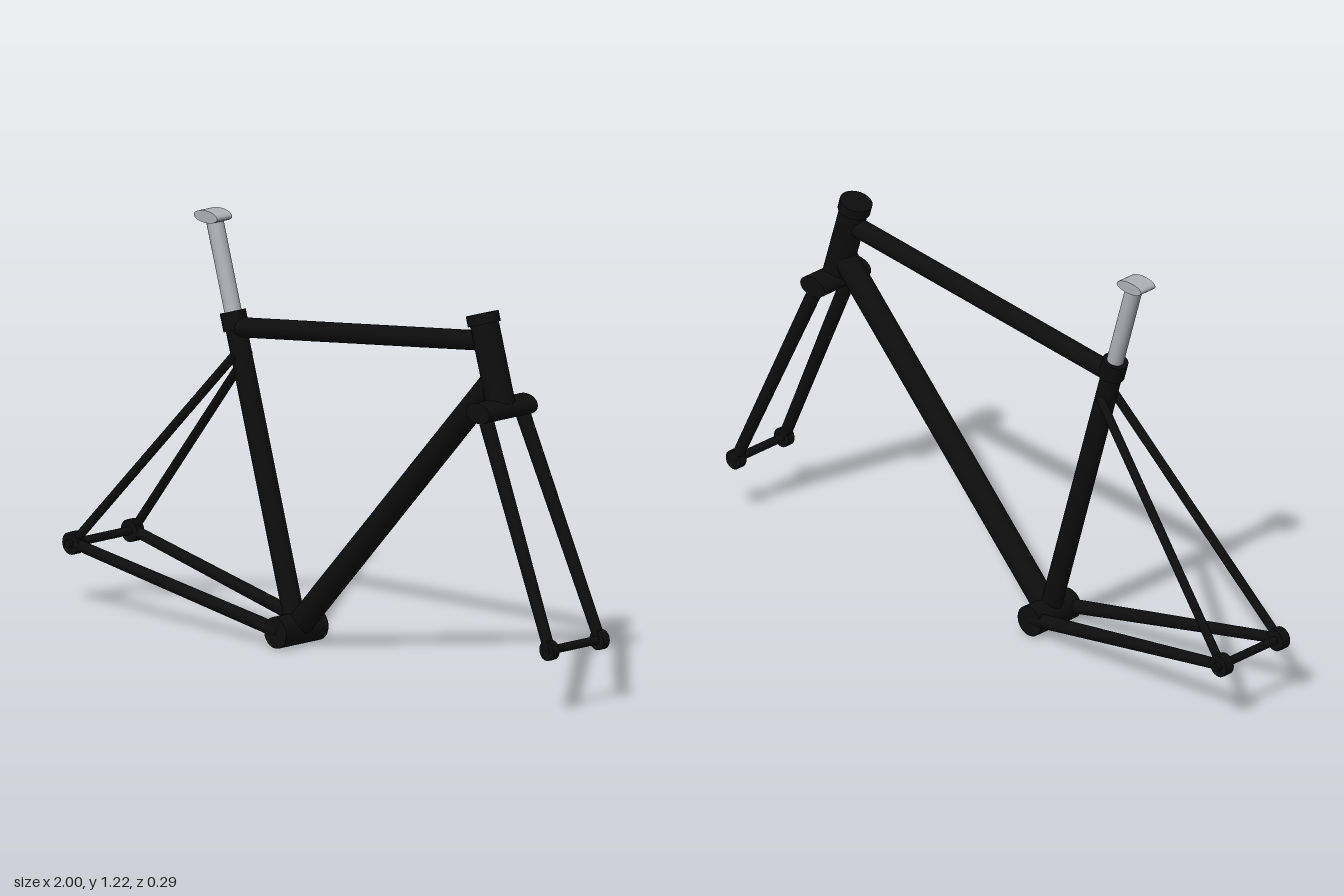
import * as THREE from 'three';

export function createModel() {
  const group = new THREE.Group();
  const black = new THREE.MeshStandardMaterial({ color: 0x0d0d0d });
  black.name = 'black paint';
  const silver = new THREE.MeshStandardMaterial({ color: 0xb0b2b8 });
  silver.name = 'silver metal';
  const up = new THREE.Vector3(0, 1, 0);

  // Round tube from point a (radius ra) to point b (radius rb)
  function tube(name, a, b, ra, rb = ra, material = black) {
    const start = new THREE.Vector3(...a);
    const dir = new THREE.Vector3(...b).sub(start);
    const mesh = new THREE.Mesh(new THREE.CylinderGeometry(rb, ra, dir.length(), 24), material);
    mesh.name = name;
    mesh.position.copy(start).addScaledVector(dir, 0.5);
    mesh.quaternion.setFromUnitVectors(up, dir.normalize());
    group.add(mesh);
    return mesh;
  }

  // Sideways cylinder with an elliptical section
  function crossPiece(name, x, y, z, rx, ry, length, material = black) {
    const geometry = new THREE.CylinderGeometry(1, 1, length, 24).rotateX(Math.PI / 2).scale(rx, ry, 1);
    const mesh = new THREE.Mesh(geometry, material);
    mesh.name = name;
    mesh.position.set(x, y, z);
    group.add(mesh);
  }

  // Main triangle
  crossPiece('bottomBracket', -0.175, 0.046, 0, 0.046, 0.046, 0.168);
  tube('seatTube', [-0.175, 0.046, 0], [-0.43, 0.915, 0], 0.031);
  tube('downTube', [-0.175, 0.046, 0], [0.63, 0.9, 0], 0.037);
  tube('topTube', [-0.42, 0.89, 0], [0.605, 1.018, 0], 0.029);

  // Head tube and its top collar
  tube('headTube', [0.667, 0.835, 0], [0.593, 1.08, 0], 0.042);
  tube('headCollar', [0.597, 1.066, 0], [0.588, 1.096, 0], 0.048);

  // Seat collar, post and saddle clamp
  tube('seatCollar', [-0.42, 0.882, 0], [-0.436, 0.934, 0], 0.038);
  tube('seatPost', [-0.425, 0.9, 0], [-0.513, 1.2, 0], 0.025, 0.025, silver);
  crossPiece('saddleClamp', -0.517, 1.202, 0, 0.048, 0.018, 0.06, silver);

  // Fork crown
  crossPiece('forkCrown', 0.669, 0.83, 0, 0.048, 0.03, 0.194);

  // Mirrored fork blades, stays and dropouts
  for (const [side, s] of [['front', 1], ['back', -1]]) {
    tube(side + 'ForkBlade', [0.669, 0.83, s * 0.072], [0.967, 0.185, s * 0.1], 0.022, 0.017);
    crossPiece(side + 'ForkDropout', 0.967, 0.185, s * 0.1, 0.029, 0.029, 0.025);
    tube(side + 'ChainStay', [-0.175, 0.046, s * 0.065], [-0.967, 0.186, s * 0.12], 0.021, 0.016);
    tube(side + 'SeatStay', [-0.4, 0.815, s * 0.028], [-0.967, 0.186, s * 0.12], 0.013);
    crossPiece(side + 'RearDropout', -0.967, 0.186, s * 0.117, 0.033, 0.033, 0.03);
  }

  // Axles
  crossPiece('frontAxle', 0.967, 0.185, 0, 0.0125, 0.0125, 0.228);
  crossPiece('rearAxle', -0.967, 0.186, 0, 0.0125, 0.0125, 0.29);

  return group;
}
